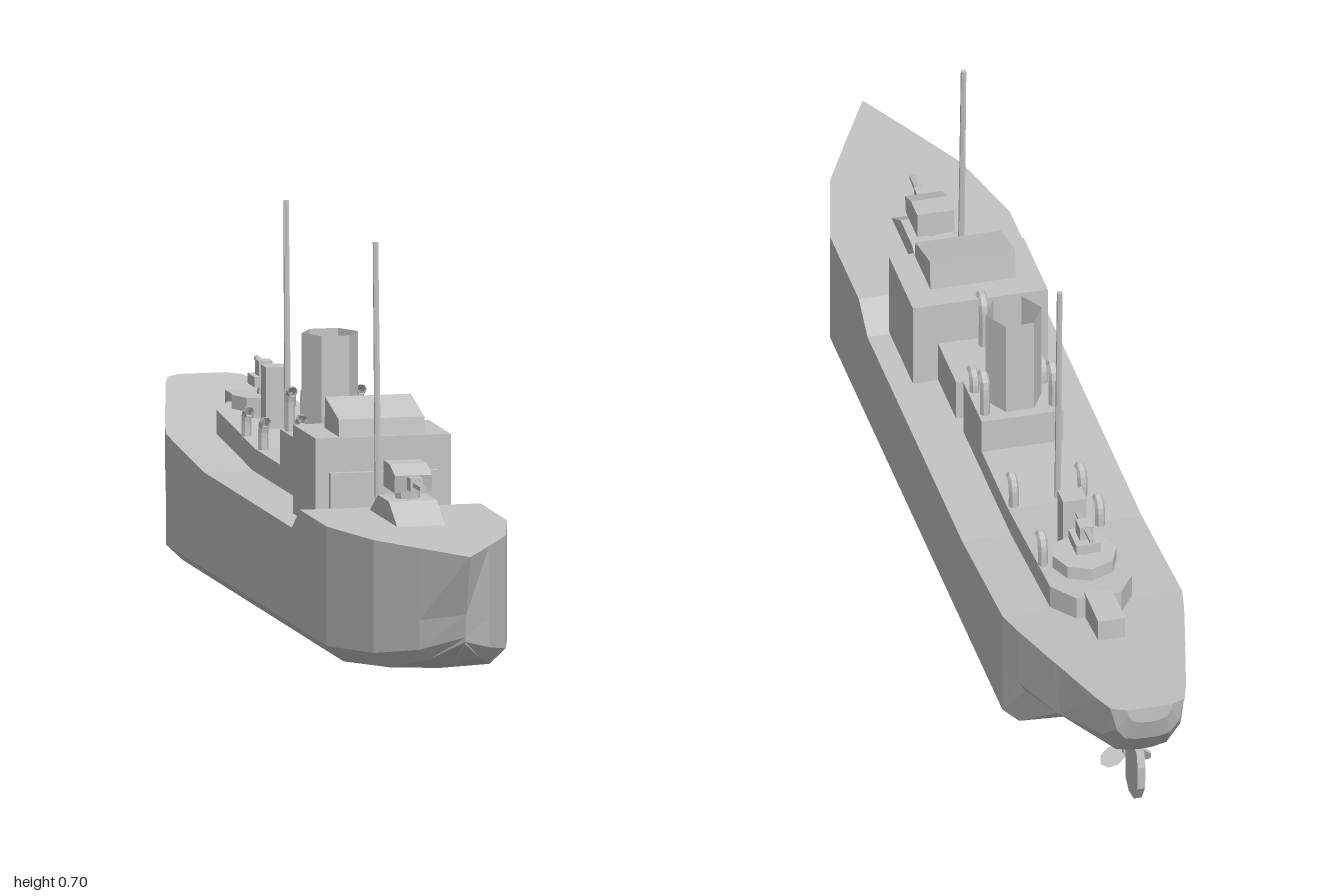
import * as THREE from 'three';

const grey = new THREE.MeshStandardMaterial({ color: 0xc4c4c4, flatShading: true, side: THREE.DoubleSide });
grey.name = 'ship grey';

// Half sections of the hull from bow to stern: five [x, y, z] points from deck edge to keel
function hullSections() {
  const stem = [.245, .14, .1, .092, .087].map(y => [0, y, .965 + .035 * ((y - .087) / .158) ** 2]);

  // Fine entrance: half width, chine height, bottom half width, bottom height, keel height
  const entrance = (z, w, chine, bw, by, keel) =>
    [[w, .245, z], [w, .12, z], [w, chine, z], [bw, by, z], [0, keel, z]];

  // Parallel body: only the deck height changes
  const body = (z, deck) => [[.16, deck, z], [.16, .12, z], [.16, .037, z], [.13, .009, z], [0, .002, z]];

  // Rising stern: the deck edge climbs in a straight line, the bottom narrows to a skeg
  const stern = (z, w, side, knuckle, bottom, keel) =>
    [[w, .23 - (z + .6) * .105], side, knuckle, bottom, [0, keel]].map(p => [...p, z]);

  return [
    stem,
    entrance(.88, .062, .068, .045, .05, .045),
    entrance(.77, .117, .048, .088, .022, .018),
    body(.6, .245),
    body(.4, .245),
    body(.34, .205),
    body(-.32, .205),
    body(-.6, .23),
    stern(-.66, .148, [.147, .13], [.135, .11], [.075, .055], .048),
    stern(-.79, .117, [.112, .145], [.085, .122], [.01, .062], .055),
    stern(-.8, .114, [.109, .147], [.083, .124], [.02, .12], .12),
    stern(-.94, .08, [.07, .19], [.045, .155], [.02, .149], .148),
    stern(-.985, .066, [.055, .225], [.04, .205], [.02, .2], .2),
    stern(-1, .04, [.038, .26], [.03, .248], [.015, .243], .242),
  ];
}

// Mirror each half section into a ring and skin the rings, closing the transom
function hullGeometry() {
  const rings = hullSections().map(half =>
    [...half.map(([x, y, z]) => [-x, y, z]), ...half.slice(0, -1).reverse()]);
  const verts = [];
  const tri = (...p) => p.forEach(v => verts.push(...v));
  for (let s = 0; s < rings.length - 1; s++) {
    for (let i = 0; i < 9; i++) {
      const j = (i + 1) % 9;
      const a = rings[s][i], b = rings[s][j], c = rings[s + 1][j], d = rings[s + 1][i];
      tri(a, d, c);
      tri(a, c, b);
    }
  }
  const last = rings[rings.length - 1];
  for (let i = 1; i < 8; i++) tri(last[0], last[i + 1], last[i]);
  const g = new THREE.BufferGeometry();
  g.setAttribute('position', new THREE.Float32BufferAttribute(verts, 3));
  g.computeVertexNormals();
  return g;
}

export function createModel() {
  const ship = new THREE.Group();
  ship.name = 'ship';

  const add = (name, geo, x = 0, y = 0, z = 0) => {
    const m = new THREE.Mesh(geo, grey);
    m.name = name;
    m.position.set(x, y, z);
    ship.add(m);
    return m;
  };
  // Box from its extents, centred on x = 0
  const block = (name, w, y0, y1, z0, z1) =>
    add(name, new THREE.BoxGeometry(w, y1 - y0, Math.abs(z1 - z0)), 0, (y0 + y1) / 2, (z0 + z1) / 2);
  // Side profile of [z, y] points, extruded across the ship
  const profile = (name, pts, w) => {
    const g = new THREE.ExtrudeGeometry(new THREE.Shape(pts.map(p => new THREE.Vector2(...p))),
      { depth: w, bevelEnabled: false });
    g.rotateY(-Math.PI / 2).translate(w / 2, 0, 0);
    return add(name, g);
  };
  // Plan outline of [x, z] points on the +x side, mirrored and extruded up
  const plan = (name, half, y0, y1) => {
    const pts = [...half, ...half.map(([x, z]) => [-x, z]).reverse()];
    const g = new THREE.ExtrudeGeometry(new THREE.Shape(pts.map(([x, z]) => new THREE.Vector2(x, -z))),
      { depth: y1 - y0, bevelEnabled: false });
    g.rotateX(-Math.PI / 2).translate(0, y0, 0);
    return add(name, g);
  };
  // Straight round bar between two points
  const bar = (name, a, b, r0, r1 = r0, sides = 6) => {
    const p = new THREE.Vector3(...a), q = new THREE.Vector3(...b), d = q.clone().sub(p);
    const m = add(name, new THREE.CylinderGeometry(r1, r0, d.length(), sides));
    m.position.copy(p).add(q).multiplyScalar(0.5);
    m.quaternion.setFromUnitVectors(new THREE.Vector3(0, 1, 0), d.normalize());
  };
  // Ventilator: upright pipe with its mouth turned forward
  const cowl = (x, z, y0, y1) => {
    const path = new THREE.CatmullRomCurve3([[y0, -.006], [y1 - .025, -.006], [y1 - .011, 0], [y1 - .01, .016]]
      .map(([y, dz]) => new THREE.Vector3(x, y, z + dz)));
    add('cowlVent', new THREE.TubeGeometry(path, 8, .009, 6));
  };

  add('hull', hullGeometry());

  // Bridge
  block('bridge', .24, .2, .36, .18, .347);
  block('bridgeFrontScreen', .192, .21, .3, .345, .36);
  block('bridgeAftHouse', .15, .2, .28, .055, .18);
  profile('wheelhouse', [[.23, .36], [.34, .36], [.335, .39], [.235, .415]], .152);

  // Midship and aft deckhouses; the aft roof rises toward the stern
  plan('funnelHouse', [[.045, .037], [.073, .01], [.073, -.115]], .2, .307);
  block('midshipHouse', .146, .2, .245, -.11, -.3);
  const aft = plan('aftHouse', [[.073, -.3], [.073, -.59], [.04, -.645]], .2, .245);
  const ap = aft.geometry.attributes.position;
  for (let i = 0; i < ap.count; i++) {
    if (ap.getY(i) > .22) ap.setY(i, .245 - (ap.getZ(i) + .3) * .09);
  }
  block('aftLocker', .048, .23, .283, -.64, -.735);

  // Funnel, open at the top
  add('funnel', new THREE.CylinderGeometry(.05, .05, .18, 6, 1, true), 0, .393, -.052).rotation.y = Math.PI / 2;
  add('funnelInside', new THREE.CylinderGeometry(.049, .049, .004, 6), 0, .42, -.052).rotation.y = Math.PI / 2;

  // Masts
  bar('foreMast', [-.02, .24, .395], [-.02, .703, .375], .006, .005);
  bar('aftMast', [-.019, .24, -.284], [-.019, .677, -.298], .006, .005);

  // Ventilators, in pairs around the funnel and singly elsewhere
  for (const x of [-.061, .061]) {
    cowl(x, -.012, .3, .35);
    cowl(x, -.085, .3, .388);
    cowl(x, -.285, .24, .305);
  }
  cowl(0, .163, .28, .382);
  cowl(-.065, -.393, .245, .308);
  cowl(.065, -.503, .255, .325);

  // Forward gun
  profile('foreGunPlatform', [[.425, .243], [.635, .243], [.57, .28], [.49, .28]], .085);
  bar('foreGunPivot', [0, .275, .53], [0, .3, .53], .022, .022, 8);
  profile('foreGunShield', [[.49, .295], [.57, .295], [.575, .325], [.535, .34], [.49, .34]], .066);
  bar('foreGunBarrel', [0, .312, .55], [0, .312, .648], .009, .007);
  block('foreGunSleeve', .022, .3, .323, .56, .6);

  // Aft gun in its tub, with a locker ahead of it
  bar('gunTubBase', [0, .25, -.545], [0, .28, -.545], .035, .035, 8);
  bar('gunTub', [0, .279, -.545], [0, .303, -.545], .057, .057, 8);
  bar('aftGunPost', [0, .3, -.545], [0, .35, -.545], .012, .01);
  block('aftGunMount', .044, .318, .336, -.52, -.575);
  block('aftGunBreech', .024, .335, .362, -.53, -.56);
  bar('aftGunBarrel', [0, .352, -.5], [0, .358, -.6], .005);
  block('readyLocker', .042, .25, .365, -.44, -.478);

  // Propeller and rudder
  bar('propellerShaft', [0, .08, -.77], [0, .08, -.845], .011, .008);
  for (let i = 0; i < 3; i++) {
    const blade = new THREE.CylinderGeometry(.017, .017, .005, 8);
    blade.rotateX(Math.PI / 2).scale(1, 1.5, 1).rotateY(.5).translate(0, .026, 0);
    add('propellerBlade', blade, 0, .08, -.832).rotation.z = i * Math.PI * 2 / 3;
  }
  profile('rudder', [[-.857, .135], [-.935, .137], [-.943, .11], [-.94, .065], [-.915, .03],
    [-.88, .025], [-.857, .04]], .014);
  bar('rudderPost', [0, .12, -.875], [0, .16, -.875], .008);
  return ship;
}
